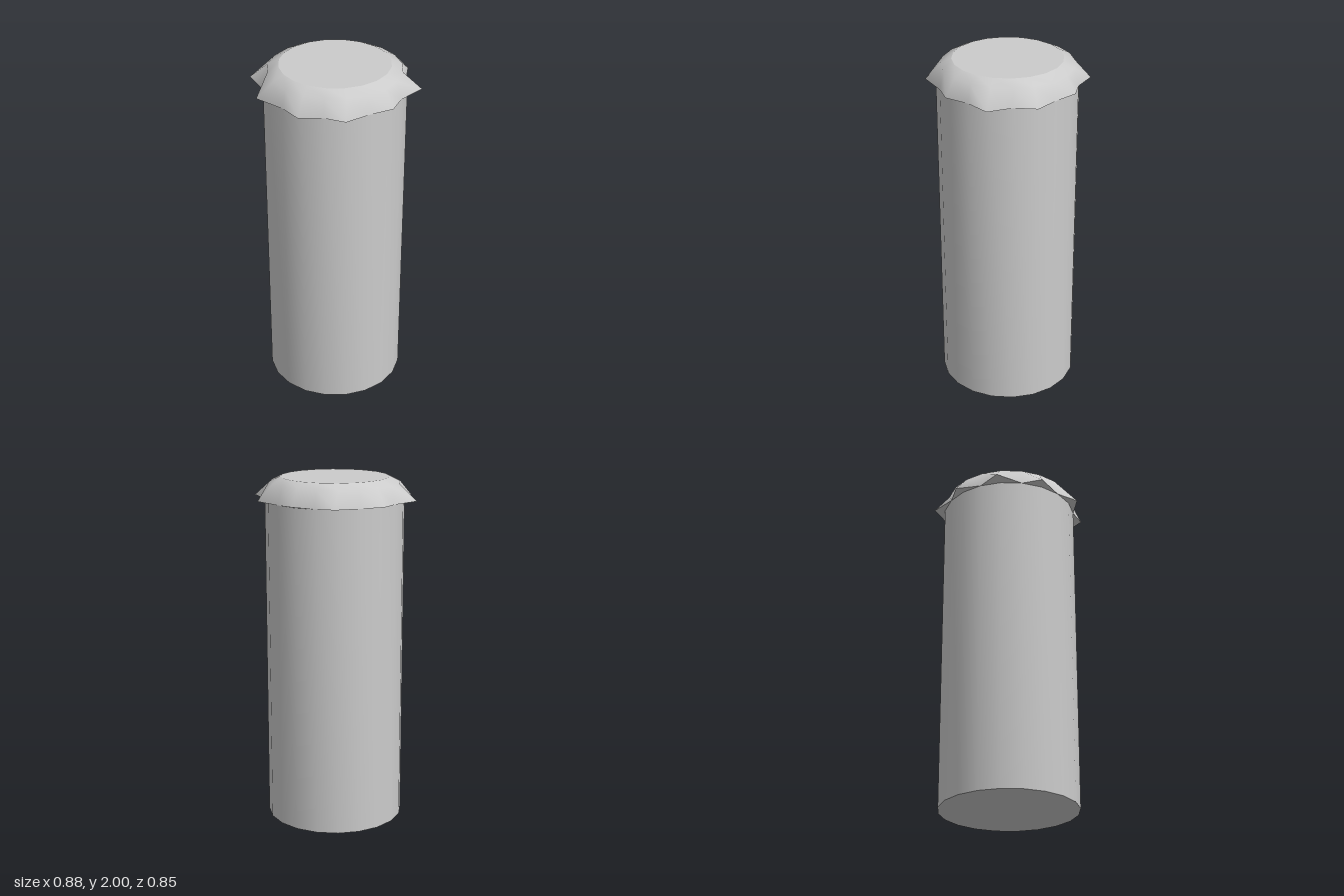
import * as THREE from 'three';
import { toCreasedNormals } from 'three/addons/utils/BufferGeometryUtils.js';

const SIDES = 20, CX = 0.007, RADIUS = 0.395, RIM_Y = 1.87;

// Ring of points around the axis, in x-to-z order
function ring(radius, y) {
  return Array.from({ length: SIDES }, (_, i) => {
    const a = (i / SIDES) * Math.PI * 2;
    return [CX + radius * Math.cos(a), y, radius * Math.sin(a)];
  });
}

// Skin a stack of rings, listed from low to high
function loft(rings, crease) {
  const index = [];
  for (let r = 0; r < rings.length - 1; r++) {
    for (let i = 0; i < SIDES; i++) {
      const j = (i + 1) % SIDES;
      const a = r * SIDES + i, b = r * SIDES + j;
      index.push(a, a + SIDES, b + SIDES, a, b + SIDES, b);
    }
  }
  const g = new THREE.BufferGeometry();
  g.setAttribute('position', new THREE.Float32BufferAttribute(rings.flat(2), 3));
  g.setIndex(index);
  return toCreasedNormals(g, crease);
}

export function createModel() {
  const group = new THREE.Group();
  const material = new THREE.MeshStandardMaterial({ color: 0xcccccc, side: THREE.DoubleSide });
  const add = (name, geometry) => {
    const mesh = new THREE.Mesh(geometry, material);
    mesh.name = name;
    group.add(mesh);
    return mesh;
  };

  // Tall cylindrical body
  add('body', loft([ring(RADIUS, 0), ring(RADIUS, RIM_Y)], 0.6));

  // Flared rim: every second point is pulled out into an uneven tip
  const tips = [
    [0.437, 0], [0.362, 0.281], [0.153, 0.424], [-0.165, 0.424], [-0.386, 0.268],
    [-0.438, -0.013], [-0.35, -0.283], [-0.128, -0.402], [0.158, -0.427], [0.387, -0.283],
  ];
  const flare = ring(RADIUS, RIM_Y);
  tips.forEach(([x, z], i) => { flare[i * 2] = [x, 1.877, z]; });

  // Cap skirt, with the undersides of the tips
  add('capSkirt', loft([ring(RADIUS, RIM_Y), flare, ring(0.37, 1.97), ring(0.308, 2)], 1.3));

  // Flat discs closing the top and bottom
  const disc = (name, radius, y, tilt) => {
    const mesh = add(name, new THREE.CircleGeometry(radius, SIDES));
    mesh.rotation.x = tilt;
    mesh.position.set(CX, y, 0);
  };
  disc('capTop', 0.308, 2, -Math.PI / 2);
  disc('base', RADIUS, 0, Math.PI / 2);

  return group;
}
